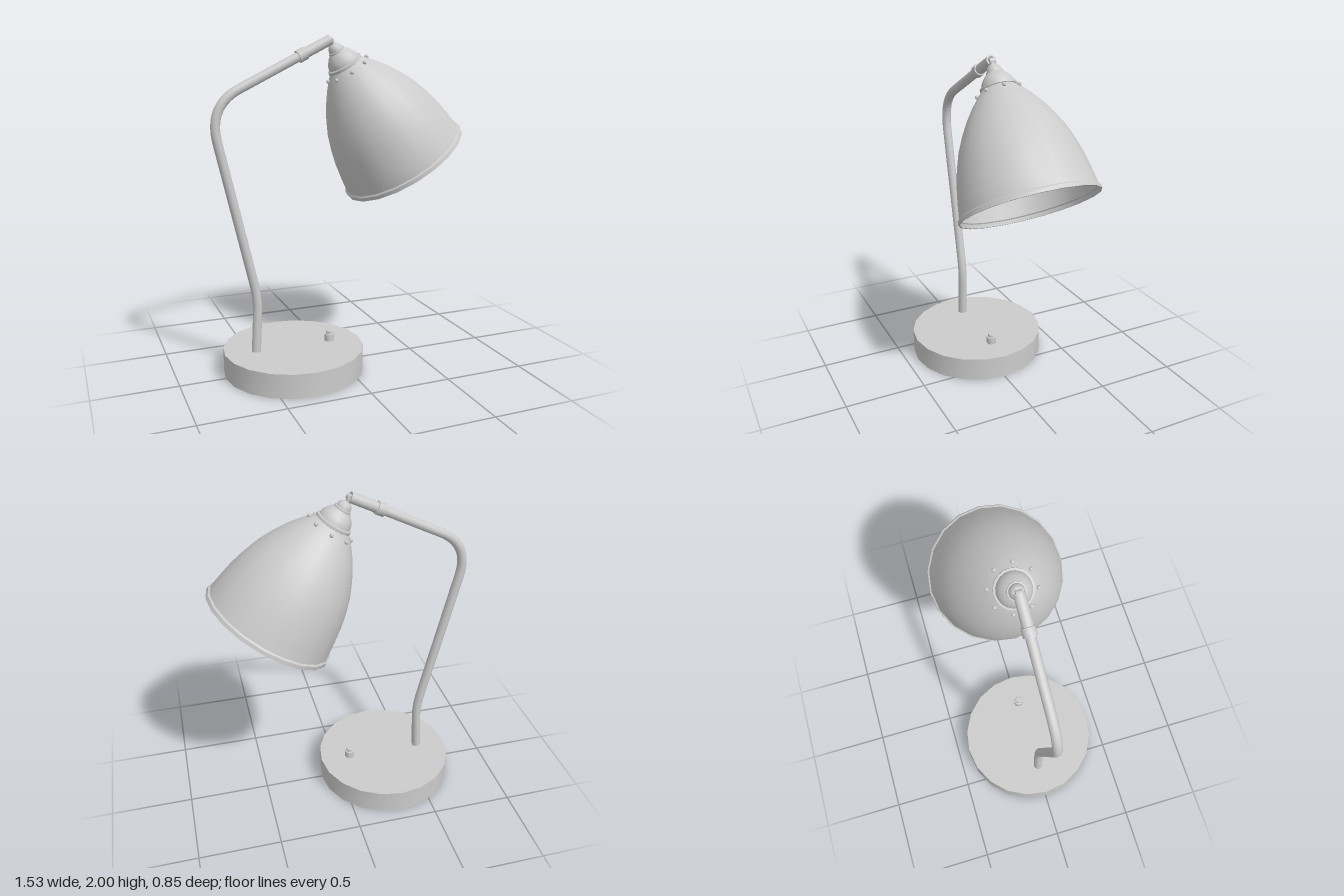
import * as THREE from 'three';
import { toCreasedNormals } from 'three/addons/utils/BufferGeometryUtils.js';

const material = new THREE.MeshStandardMaterial({ color: 0xcccccc, side: THREE.DoubleSide });
const v2 = ([x, y]) => new THREE.Vector2(x, y);
const v3 = ([x, y]) => new THREE.Vector3(x, y, 0);

function add(parent, name, geometry, x = 0, y = 0, z = 0) {
  const mesh = new THREE.Mesh(geometry, material);
  mesh.name = name;
  mesh.position.set(x, y, z);
  parent.add(mesh);
  return mesh;
}

// Turned part from [radius, height] pairs, with hard steps kept sharp
const turned = (profile, sides = 20, crease = 0.6) =>
  toCreasedNormals(new THREE.LatheGeometry(profile.map(v2), sides), crease);

export function createModel() {
  const lamp = new THREE.Group();
  lamp.name = 'deskLamp';

  // Base and push switch
  add(lamp, 'base', toCreasedNormals(new THREE.CylinderGeometry(0.427, 0.427, 0.146, 20), 0.6), -0.3, 0.073, 0);
  add(lamp, 'switch', turned([
    [0, 0], [0.031, 0], [0.031, 0.045], [0.021, 0.047], [0.021, 0.062], [0.018, 0.066], [0, 0.066],
  ], 12), -0.065, 0.145, 0);

  // Bent arm: straight runs joined by rounded bends
  const path = new THREE.CurvePath();
  const line = (a, b) => path.add(new THREE.LineCurve3(v3(a), v3(b)));
  const bend = (a, c, b) => path.add(new THREE.QuadraticBezierCurve3(v3(a), v3(c), v3(b)));
  line([-0.535, 0.14], [-0.522, 0.38]);
  bend([-0.522, 0.38], [-0.517, 0.47], [-0.542, 0.58]);
  line([-0.542, 0.58], [-0.73, 1.41]);
  bend([-0.73, 1.41], [-0.775, 1.61], [-0.61, 1.7]);
  line([-0.61, 1.7], [-0.22, 1.895]);
  add(lamp, 'arm', new THREE.TubeGeometry(path, 70, 0.028, 12));

  // Sleeve at the arm's end, with its collar and open mouth
  const sleeve = add(lamp, 'armSleeve', turned([
    [0.026, 0], [0.038, 0], [0.038, 0.05], [0.031, 0.052], [0.031, 0.218], [0.021, 0.218], [0.021, 0.16], [0, 0.16],
  ], 16), -0.25, 1.88, 0);
  sleeve.rotation.z = -Math.PI / 2 + 0.46;

  // Tilted head, its origin at the centre of the shade's mouth
  const head = new THREE.Group();
  head.name = 'lampHead';
  head.position.set(0.425, 1.25, 0);
  head.rotation.z = 0.586;
  lamp.add(head);

  const wall = [
    [0.392, 0.03], [0.38, 0.11], [0.362, 0.21], [0.338, 0.3], [0.307, 0.39],
    [0.266, 0.475], [0.222, 0.55], [0.176, 0.615], [0.13, 0.67], [0.098, 0.7],
  ];
  add(head, 'shade', turned(wall, 20, 1));
  add(head, 'shadeRim', turned([
    [0.392, 0.03], [0.402, 0.022], [0.404, 0], [0.394, 0], [0.389, 0.022],
  ]));

  // Stepped cap and neck
  add(head, 'cap', turned([
    [0.09, 0.69], [0.108, 0.697], [0.108, 0.712], [0.096, 0.716], [0.093, 0.735],
    [0.082, 0.755], [0.067, 0.775], [0.05, 0.79], [0.05, 0.8], [0.043, 0.802],
    [0.041, 0.82], [0.03, 0.836], [0.018, 0.842], [0, 0.844],
  ]));

  // Rivets around the top of the shade
  for (let i = 0; i < 8; i++) {
    const a = (13 + i * 45) * Math.PI / 180;
    add(head, 'rivet', new THREE.SphereGeometry(0.012, 8, 6), 0.134 * Math.cos(a), 0.672, 0.134 * Math.sin(a));
  }

  // Bulb inside the shade
  add(head, 'bulb', turned([
    [0, 0.37], [0.04, 0.378], [0.075, 0.403], [0.096, 0.44], [0.1, 0.48],
    [0.09, 0.525], [0.066, 0.57], [0.048, 0.61], [0.045, 0.7],
  ], 16, 1));

  // Swivel between sleeve and neck
  add(lamp, 'swivelStem', new THREE.CylinderGeometry(0.015, 0.015, 0.05, 10), -0.047, 1.958, 0).rotation.z = 0.586;
  const knuckle = add(lamp, 'swivelKnuckle', new THREE.CylinderGeometry(0.02, 0.02, 0.034, 12), -0.055, 1.97, 0);
  knuckle.rotation.x = Math.PI / 2;

  return lamp;
}
